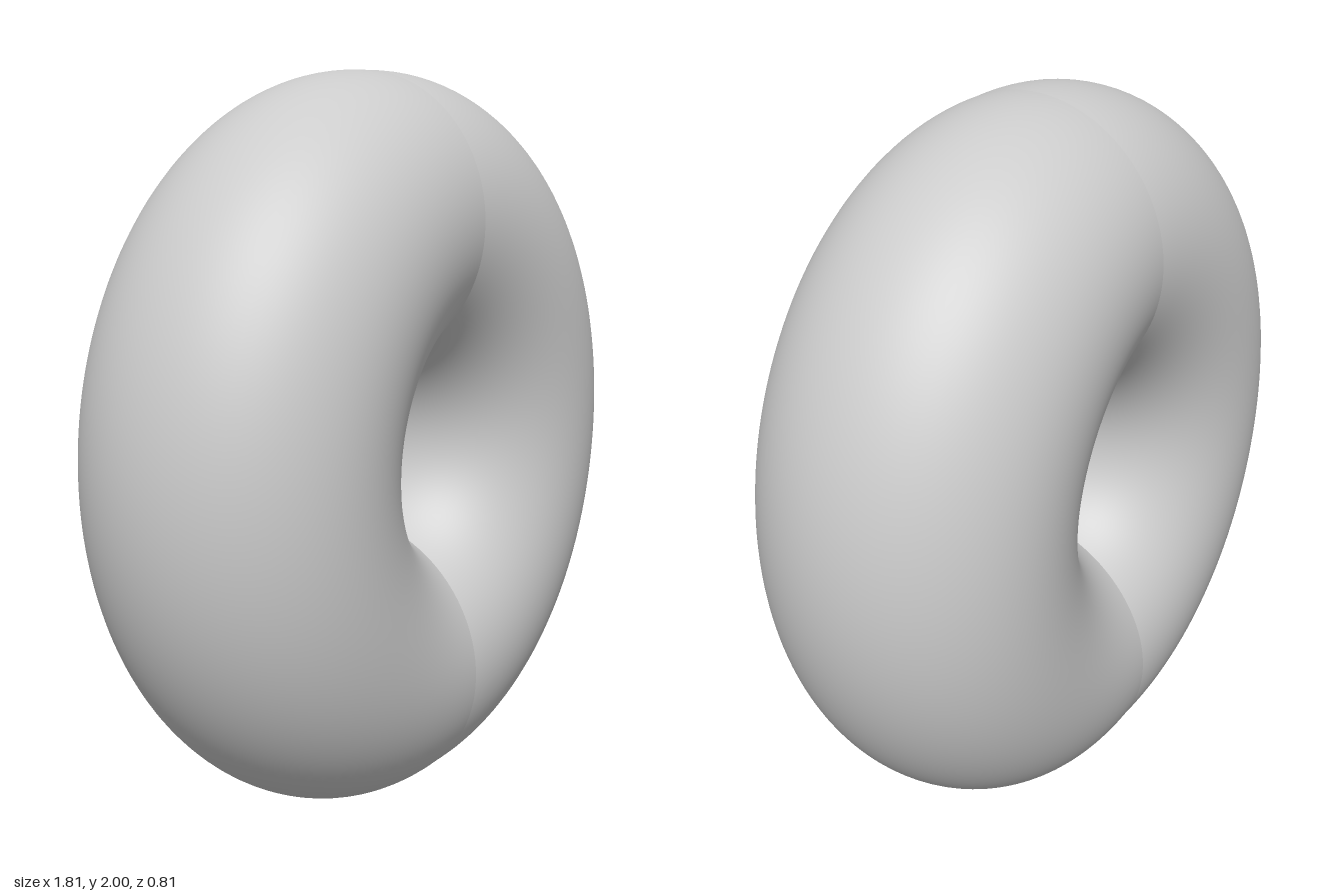
import * as THREE from 'three';
import { ParametricGeometry } from 'three/addons/geometries/ParametricGeometry.js';

// distance from the origin, at angle a, to an ellipse shifted by cx along x
function shiftedEllipse(a, cx, rx, ry) {
  const c = Math.abs(Math.cos(a)), s = Math.sin(a);
  const A = (c * c) / (rx * rx) + (s * s) / (ry * ry);
  const B = (-c * cx) / (rx * rx);
  const C = (cx * cx) / (rx * rx) - 1;
  return (-B + Math.sqrt(B * B - A * C)) / A;
}

// half of the ring, swept over 180 degrees from the start angle
function halfRing(start) {
  return new ParametricGeometry((u, v, target) => {
    const a = start + u * Math.PI, t = v * Math.PI * 2;
    const inner = shiftedEllipse(a, -0.145, 0.272, 0.272); // pointed lens-shaped hole
    const outer = shiftedEllipse(a, 0.03, 0.877, 1); // oval rim with a slight notch
    const depth = 0.384 + 0.022 * (1 - (1 - Math.abs(Math.cos(a))) ** 2); // thinner at the seam
    const r = (outer + inner) / 2 + ((outer - inner) / 2) * Math.cos(t);
    target.set(r * Math.cos(a), 1 + r * Math.sin(a), depth * Math.sin(t));
  }, 96, 96);
}

export function createModel() {
  const group = new THREE.Group();
  group.name = 'pinchedRing';
  const material = new THREE.MeshStandardMaterial({ color: 0xcccccc });
  // separate halves keep the crease at x = 0 sharp
  for (const [name, start] of [['leftHalf', -Math.PI / 2], ['rightHalf', Math.PI / 2]]) {
    const half = new THREE.Mesh(halfRing(start), material);
    half.name = name;
    group.add(half);
  }
  return group;
}
